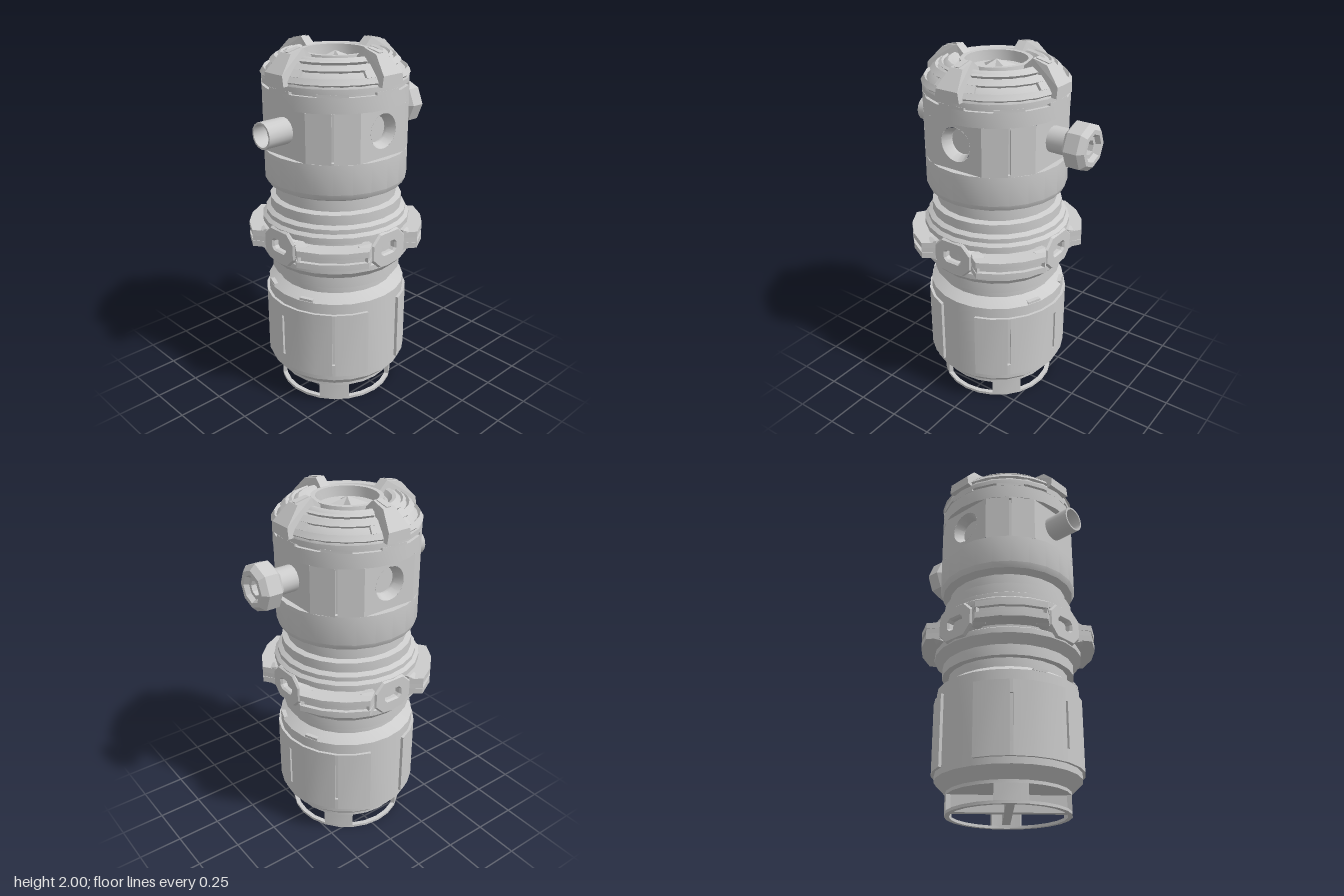
import * as THREE from 'three';
import { toCreasedNormals } from 'three/addons/utils/BufferGeometryUtils.js';
import { ConvexGeometry } from 'three/addons/geometries/ConvexGeometry.js';

const SEG = 24;
const D = Math.PI / 180;
const grey = new THREE.MeshStandardMaterial({ color: 0xcccccc });
const vec = (p) => p.map(([x, y]) => new THREE.Vector2(x, y));

// Mesh with sharp edges kept
function add(parent, name, geo, crease = 28) {
  const mesh = new THREE.Mesh(toCreasedNormals(geo, crease * D), grey);
  mesh.name = name;
  parent.add(mesh);
  return mesh;
}

const lathe = (points, segs = SEG) => new THREE.LatheGeometry(vec(points), segs);

// Sweeps a closed (radius, height) profile around y between two angles in degrees
function sector(profile, a0, a1) {
  const steps = Math.max(1, Math.round((a1 - a0) / 15));
  const geo = new THREE.ExtrudeGeometry(new THREE.Shape(vec(profile)), { depth: 1, steps, bevelEnabled: false });
  const p = geo.attributes.position;
  for (let i = 0; i < p.count; i++) {
    const r = p.getX(i), a = (a0 + (a1 - a0) * p.getZ(i)) * D;
    p.setXYZ(i, r * Math.cos(a), p.getY(i), r * Math.sin(a));
  }
  return geo;
}

const block = (r0, r1, y0, y1, a0, a1) => sector([[r0, y0], [r1, y0], [r1, y1], [r0, y1]], a0, a1);

// Group repeated at quarter turns; build(group, index) faces +z
function quarters(parent, name, build) {
  for (let i = 0; i < 4; i++) {
    const g = new THREE.Group();
    g.name = name;
    g.rotation.y = i * Math.PI / 2;
    parent.add(g);
    build(g, i);
  }
}

function buildBase(g) {
  add(g, 'footRing', block(0.305, 0.33, 0, 0.015, 0, 360));
  add(g, 'footUpperRing', block(0.305, 0.33, 0.098, 0.12, 0, 360));
  quarters(g, 'footPost', (q) => add(q, 'post', block(0.305, 0.33, 0.01, 0.11, 30, 60)));
  for (const a of [45, 135]) {
    const vane = add(g, 'footVane', new THREE.BoxGeometry(0.62, 0.09, 0.045));
    vane.position.y = 0.065;
    vane.rotation.y = a * D;
  }
}

function buildLowerBody(g) {
  add(g, 'lowerBody', lathe([
    [0, 0.115], [0.33, 0.115], [0.39, 0.175], [0.39, 0.66], [0.33, 0.70], [0.33, 0.75], [0.365, 0.75],
    [0.365, 0.81], [0.385, 0.83], [0.41, 0.855], [0.41, 0.885], [0.385, 0.9], [0.385, 1.02], [0.41, 1.03],
    [0.41, 1.06], [0.39, 1.075], [0.39, 1.10], [0.365, 1.115], [0.365, 1.17], [0.335, 1.18], [0.335, 1.24],
    [0.345, 1.245], [0.375, 1.26], [0.39, 1.29], [0.39, 1.45], [0.2, 1.45],
  ]));
  // Side panels wrapping each flank, pierced by three upright slots
  for (const side of [0, 180]) {
    const cuts = [-45, 0, 45];
    const edges = [-73, ...cuts.flatMap((c) => [c - 1.2, c + 1.2]), 73];
    for (let i = 0; i < edges.length; i += 2)
      add(g, 'sidePanel', block(0.38, 0.405, 0.21, 0.6, side + edges[i], side + edges[i + 1]));
    for (const c of cuts)
      for (const [y0, y1] of [[0.21, 0.28], [0.53, 0.6]])
        add(g, 'sidePanelBridge', block(0.38, 0.405, y0, y1, side + c - 1.2, side + c + 1.2));
    for (const c of [-22, 22])
      add(g, 'shoulderTab', block(0.34, 0.388, 0.662, 0.676, side + c - 6, side + c + 6));
  }
}

function buildCollar(g) {
  // Grooved flaps on the diagonals
  const flap = (k, y0, y1) => {
    const pts = [[0.37, 14], [0.415 * k, 15.5]];
    for (let i = 0; i <= 3; i++) pts.push([0.487 * k, 22.4 + i * 15.07]);
    pts.push([0.415 * k, 74.5], [0.37, 76]);
    const shape = new THREE.Shape(vec(pts.map(([r, a]) => [r * Math.cos(a * D), r * Math.sin(a * D)])));
    const geo = new THREE.ExtrudeGeometry(shape, { depth: y1 - y0, bevelEnabled: false });
    return geo.rotateX(-Math.PI / 2).translate(0, y0, 0);
  };
  // Octagonal link with a slotted window
  const octagon = (w, h, c) => vec([[w, h - c], [w - c, h], [c - w, h], [-w, h - c],
    [-w, c - h], [c - w, -h], [w - c, -h], [w, c - h]]);
  const link = new THREE.Shape(octagon(0.115, 0.09, 0.05));
  link.holes.push(new THREE.Path(octagon(0.058, 0.037, 0.018).reverse()));
  quarters(g, 'collarQuarter', (q) => {
    add(q, 'flapLower', flap(1, 0.912, 0.945));
    add(q, 'flapCore', flap(0.955, 0.94, 0.98));
    add(q, 'flapUpper', flap(1, 0.975, 1.008));
    const geo = new THREE.ExtrudeGeometry(link, { depth: 0.055, bevelSize: 0.008, bevelThickness: 0.012, bevelSegments: 1 });
    add(q, 'collarLink', geo).position.set(0, 0.96, 0.35);
    for (const s of [-1, 1]) {
      const pts = [];
      for (const [x, z, h] of [[0.11, 0.35, 0.06], [0.12, 0.405, 0.06], [0.187, 0.37, 0.052], [0.19, 0.447, 0.03]])
        for (const v of [-1, 1]) pts.push(new THREE.Vector3(s * x, 0.96 + v * h, z));
      add(q, 'flapEnd', new ConvexGeometry(pts), 5);
    }
  });
}

function buildHead(g) {
  // Recessed band: rounded corners with slots, flat faces between
  const flat = 0.355, a = Math.acos(flat / 0.39) / D, half = 0.39 * Math.sin(a * D);
  quarters(g, 'headQuarter', (q, i) => {
    add(q, 'cornerWall', block(0.3, 0.39, 1.45, 1.71, a, 44));
    add(q, 'cornerWall', block(0.3, 0.39, 1.45, 1.71, 46, 90 - a));
    add(q, 'slotFloor', block(0.3, 0.37, 1.45, 1.71, 43, 47));
    for (const [y0, y1] of [[1.45, 1.46], [1.7, 1.71]])
      add(q, 'slotEnd', block(0.3, 0.39, y0, y1, 44, 46));
    for (const c of [0, 45]) add(q, 'slitSpacer', block(0.3, 0.39, 1.79, 1.805, c - 11.5, c + 11.5));
    const face = new THREE.Shape(vec([[-half, 1.45], [half, 1.45], [half, 1.71], [-half, 1.71]]));
    if (i % 2 === 0) {
      face.holes.push(new THREE.Path().absarc(0, 1.59, 0.092, 0, Math.PI * 2, true));
      const port = add(q, 'portRecess', lathe([[0, -0.06], [0.07, -0.06], [0.07, -0.045], [0.092, 0]].reverse(), 16).scale(1, 1, 1));
      port.material = grey.clone();
      port.material.side = THREE.DoubleSide;
      port.rotation.x = Math.PI / 2;
      port.position.set(0, 1.59, flat);
    }
    add(q, 'flatFace', new THREE.ShapeGeometry(face, 16)).position.z = flat;
  });
  add(g, 'headBand', lathe([[0.2, 1.71], [0.39, 1.71], [0.39, 1.79], [0.372, 1.79], [0.372, 1.805], [0.39, 1.805], [0.39, 1.83]]));
}

function buildCap(g) {
  // Dome, rolled rim and central dish
  add(g, 'capDome', lathe([
    [0.39, 1.83], [0.385, 1.845], [0.315, 1.915], [0.285, 1.925], [0.27, 1.945], [0.25, 1.955], [0.23, 1.95],
    [0.21, 1.925], [0.195, 1.925], [0.19, 1.955], [0.165, 1.955], [0.16, 1.9], [0, 1.9],
  ]), 35);
  // Raised frames on the sloping cap
  const slab = (r0, y0, r1, y1) => [[r0 - 0.03, y0 - 0.03], [r0, y0], [r1, y1], [r1 - 0.03, y1 - 0.03]];
  quarters(g, 'capQuarter', (q) => {
    add(q, 'frameLower', sector(slab(0.395, 1.85, 0.377, 1.877), 11, 79));
    add(q, 'frameUpper', sector(slab(0.345, 1.908, 0.318, 1.932), 11, 79));
    for (const s of [11, 71]) add(q, 'frameEnd', sector(slab(0.377, 1.877, 0.345, 1.908), s, s + 8));
    add(q, 'frameStep', sector(slab(0.3, 1.94, 0.285, 1.948), 11, 79));

    // Tapered fin, narrowing upward and inward
    const shape = new THREE.Shape(vec([[0.19, 1.83], [0.412, 1.83], [0.412, 1.885], [0.33, 1.975], [0.24, 1.995], [0.19, 1.95]]));
    const fin = new THREE.ExtrudeGeometry(shape, { depth: 2, bevelEnabled: false }).translate(0, 0, -1);
    const p = fin.attributes.position;
    for (let i = 0; i < p.count; i++) {
      const w = 0.045 + 0.03 * (p.getX(i) - 0.19) / 0.22;
      p.setZ(i, p.getZ(i) * w * (1 - 0.5 * Math.max(0, p.getY(i) - 1.85) / 0.15));
    }
    add(q, 'capFin', fin.rotateY(-Math.PI / 2), 5);
    const inlay = add(q, 'finInlay', new THREE.BoxGeometry(0.026, 0.01, 0.08));
    inlay.position.set(0, 1.984, 0.287);
    inlay.rotation.x = 0.219;
  });
  // Four-pointed star in the dish
  const star = [];
  for (let i = 0; i < 8; i++) {
    const r = i % 2 ? 0.05 : 0.125, t = (68 + i * 45) * D;
    star.push([r * Math.cos(t), r * Math.sin(t)]);
  }
  const pos = [];
  star.forEach(([x, y], i) => {
    const [u, v] = star[(i + 1) % 8];
    pos.push(x, 1.9, -y, u, 1.9, -v, 0, 1.95, 0);
  });
  const geo = new THREE.BufferGeometry();
  geo.setAttribute('position', new THREE.Float32BufferAttribute(pos, 3));
  add(g, 'dishStar', geo, 5);
}

function buildSidePipes(g) {
  // Profiles run along the axis outward from the body
  const right = add(g, 'openPipe', lathe([[0.07, 0.3], [0.07, 0.503], [0.06, 0.503], [0.06, 0.42], [0, 0.42]], 16));
  right.rotation.z = Math.PI / 2;
  const left = add(g, 'knobStem', lathe([[0.07, 0.3], [0.07, 0.48]], 16));
  const knob = add(g, 'knob', lathe([
    [0.05, 0.467], [0.1, 0.467], [0.128, 0.49], [0.128, 0.565], [0.1, 0.594], [0.075, 0.594],
    [0.06, 0.57], [0.04, 0.57], [0.04, 0.53], [0, 0.53],
  ], 8), 5);
  left.rotation.z = knob.rotation.z = -Math.PI / 2;
  for (const m of [right, left, knob]) m.position.y = 1.59;
}

export function createModel() {
  const model = new THREE.Group();
  model.name = 'canister';
  const parts = { base: buildBase, lowerBody: buildLowerBody, collar: buildCollar, head: buildHead, cap: buildCap, sidePipes: buildSidePipes };
  for (const [name, build] of Object.entries(parts)) {
    const g = new THREE.Group();
    g.name = name;
    g.position.x = -0.047;
    build(g);
    model.add(g);
  }
  return model;
}
